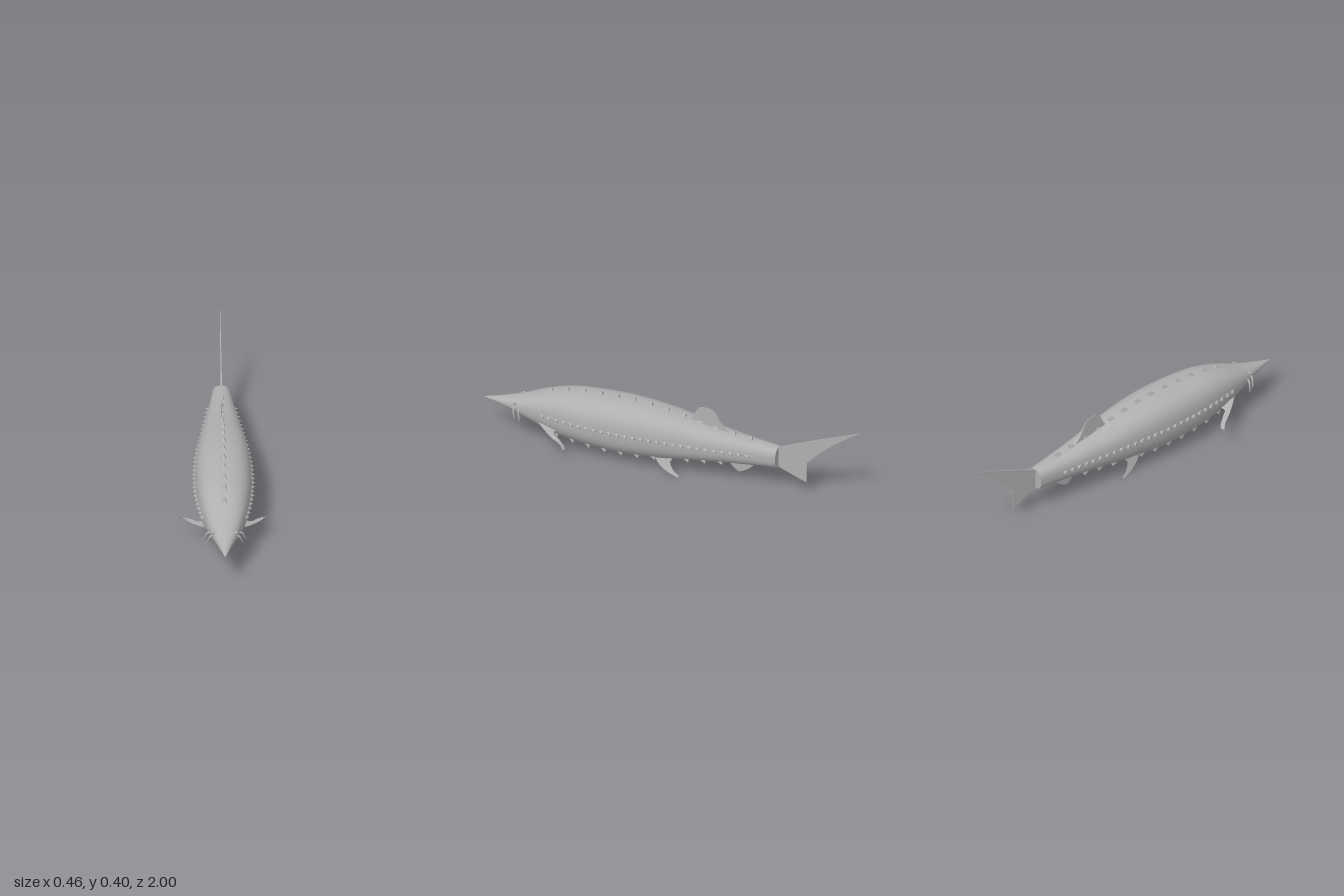
import * as THREE from 'three';
import { mergeVertices, mergeGeometries } from 'three/addons/utils/BufferGeometryUtils.js';
import { ParametricGeometry } from 'three/addons/geometries/ParametricGeometry.js';

// Body stations from tail to nose: z, half width, top y, bottom y
const STATIONS = [
  [-0.567, 0.045, 0.225, 0.118], [-0.4, 0.066, 0.24, 0.106], [-0.2, 0.094, 0.266, 0.086],
  [0, 0.122, 0.3, 0.062], [0.2, 0.137, 0.318, 0.045], [0.4, 0.136, 0.314, 0.05],
  [0.55, 0.122, 0.3, 0.066], [0.68, 0.098, 0.265, 0.095], [0.8, 0.064, 0.219, 0.127],
  [0.9, 0.032, 0.19, 0.147], [1, 0.0005, 0.1655, 0.1645],
];
const widthCurve = new THREE.CatmullRomCurve3(STATIONS.map(([z, w]) => new THREE.Vector3(w, 0, z)));
const heightCurve = new THREE.CatmullRomCurve3(STATIONS.map(([z, , t, b]) => new THREE.Vector3(t, b, z)));

// Curve value at a given z, found by bisection
function atZ(curve, z) {
  let lo = 0, hi = 1;
  for (let i = 0; i < 24; i++) {
    const mid = (lo + hi) / 2;
    if (curve.getPoint(mid).z < z) lo = mid; else hi = mid;
  }
  return curve.getPoint((lo + hi) / 2);
}

// Squarish rounded cross-section, rounder towards the nose
function bodyPoint(angle, z, target = new THREE.Vector3()) {
  const w = atZ(widthCurve, z).x, h = atZ(heightCurve, z);
  const n = 2.6 - 0.6 * THREE.MathUtils.smoothstep(z, 0.6, 1);
  const c = Math.cos(angle), s = Math.sin(angle);
  const r = Math.pow(Math.abs(c) ** n + Math.abs(s) ** n, -1 / n);
  return target.set(c * r * w, (h.x + h.y) / 2 + s * r * (h.x - h.y) / 2, z);
}

// Matrix resting on the skin: local y points outwards, local z towards the nose
function skinFrame(angle, z) {
  const p = bodyPoint(angle, z);
  const forward = bodyPoint(angle, z + 0.01).sub(bodyPoint(angle, z - 0.01)).normalize();
  const around = bodyPoint(angle + 0.02, z).sub(bodyPoint(angle - 0.02, z));
  const out = around.cross(forward).normalize();
  const side = out.clone().cross(forward);
  return new THREE.Matrix4().makeBasis(side, out, forward).setPosition(p);
}

// A row of four-sided bony plates with the point leaning backwards
function scuteRow(angle, zStart, zEnd, count, width, length, height) {
  const parts = [];
  for (let i = 0; i < count; i++) {
    const z = THREE.MathUtils.lerp(zStart, zEnd, i / (count - 1));
    const g = new THREE.CylinderGeometry(0.01, Math.SQRT1_2, 1, 4, 1, true, Math.PI / 4);
    g.translate(0, 0.42, 0);
    const p = g.attributes.position;
    for (let k = 0; k < p.count; k++) if (p.getY(k) > 0) p.setZ(k, p.getZ(k) - 0.4);
    g.scale(width, height, length).applyMatrix4(skinFrame(angle, z));
    const flat = g.toNonIndexed();
    flat.computeVertexNormals();
    parts.push(flat);
  }
  return mergeGeometries(parts);
}

// Upright fin: outline in (z, y), with thickness tapering from the base line to the far edge
function uprightFin(shape, taper) {
  const g = new THREE.ExtrudeGeometry(shape, { depth: 1, bevelEnabled: false, curveSegments: 10 });
  const p = g.attributes.position;
  for (let i = 0; i < p.count; i++) {
    const z = p.getX(i), y = p.getY(i);
    p.setXYZ(i, (0.5 - p.getZ(i)) * taper(z, y), y, z);
  }
  // The axis swap (x, y, z) to (-z, y, x) is a pure rotation, so the winding holds
  g.computeVertexNormals();
  return g;
}

// Thin paired fin swept between two edge curves
function pairedFin(outer, inner, mirror) {
  const curve = (pts) => new THREE.CatmullRomCurve3(pts.map(([x, y, z]) => new THREE.Vector3(x * mirror, y, z)));
  const a = curve(outer), b = curve(inner);
  return new ParametricGeometry((u, v, t) => t.lerpVectors(a.getPoint(v), b.getPoint(v), u), 3, 12);
}

export function createModel() {
  const group = new THREE.Group();
  const grey = new THREE.MeshStandardMaterial({ color: 0xb0b0b0, side: THREE.DoubleSide });
  grey.name = 'plain grey';
  const add = (name, geometry) => {
    const mesh = new THREE.Mesh(geometry, grey);
    mesh.name = name;
    group.add(mesh);
    return mesh;
  };

  // Body with a flat end at the tail
  let body = new ParametricGeometry((u, v, t) => bodyPoint(u * Math.PI * 2, -0.567 + 1.567 * v, t), 40, 64);
  body.deleteAttribute('normal');
  body.deleteAttribute('uv');
  body = mergeVertices(body, 1e-5);
  body.computeVertexNormals();
  add('body', body);
  const cap = new THREE.Shape();
  for (let i = 0; i < 40; i++) {
    const p = bodyPoint((i / 40) * Math.PI * 2, -0.567);
    if (i) cap.lineTo(-p.x, p.y); else cap.moveTo(-p.x, p.y);
  }
  const capGeometry = new THREE.ShapeGeometry(cap);
  capGeometry.rotateY(Math.PI).translate(0, 0, -0.567);
  add('tailEnd', capGeometry);

  // Tail fin with a long upper lobe
  const tail = new THREE.Shape();
  tail.moveTo(-0.55, 0.225);
  tail.lineTo(-0.567, 0.225);
  tail.quadraticCurveTo(-0.75, 0.305, -1, 0.398);
  tail.quadraticCurveTo(-0.8, 0.27, -0.718, 0.168);
  tail.lineTo(-0.716, 0.06);
  tail.lineTo(-0.567, 0.118);
  tail.lineTo(-0.55, 0.118);
  add('tailFin', uprightFin(tail, (z) => THREE.MathUtils.mapLinear(z, -0.55, -1, 0.008, 0.001)));

  // Back fin
  const back = new THREE.Shape();
  back.moveTo(-0.08, 0.265);
  back.bezierCurveTo(-0.13, 0.3, -0.12, 0.352, -0.16, 0.36);
  back.bezierCurveTo(-0.26, 0.37, -0.22, 0.31, -0.305, 0.248);
  back.lineTo(-0.28, 0.235);
  back.lineTo(-0.1, 0.255);
  add('backFin', uprightFin(back, (z, y) => THREE.MathUtils.mapLinear(y, 0.24, 0.365, 0.012, 0.002)));

  // Belly fin near the tail
  const anal = new THREE.Shape();
  anal.moveTo(-0.29, 0.105);
  anal.quadraticCurveTo(-0.32, 0.065, -0.355, 0.042);
  anal.quadraticCurveTo(-0.41, 0.06, -0.45, 0.115);
  anal.lineTo(-0.37, 0.125);
  add('analFin', uprightFin(anal, (z, y) => THREE.MathUtils.mapLinear(y, 0.04, 0.125, 0.002, 0.01)));

  // Row along the back
  add('backScutes', scuteRow(Math.PI / 2, 0.65, -0.41, 13, 0.024, 0.036, 0.02));

  for (const m of [1, -1]) {
    const side = m > 0 ? 'left' : 'right';
    const mirrored = (angle) => (m > 0 ? angle : Math.PI - angle);

    // Rows along the flank and the belly edge
    add(side + 'FlankScutes', scuteRow(mirrored(0.03), 0.65, -0.42, 27, 0.016, 0.026, 0.017));
    add(side + 'BellyScutes', scuteRow(mirrored(-0.86), 0.58, -0.28, 11, 0.018, 0.028, 0.016));

    // Paired fins
    add(side + 'PectoralFin', pairedFin(
      [[0.1, 0.143, 0.67], [0.14, 0.127, 0.615], [0.175, 0.113, 0.56], [0.206, 0.108, 0.51], [0.229, 0.093, 0.484]],
      [[0.1, 0.125, 0.57], [0.132, 0.122, 0.575], [0.158, 0.114, 0.54], [0.185, 0.1, 0.5], [0.205, 0.092, 0.482]], m));
    add(side + 'PelvicFin', pairedFin(
      [[0.07, 0.072, 0.065], [0.083, 0.042, 0.035], [0.096, 0.018, -0.01], [0.111, 0.003, -0.078]],
      [[0.074, 0.076, -0.02], [0.085, 0.048, -0.03], [0.096, 0.026, -0.05], [0.106, 0.012, -0.08]], m));

    // Eye
    const eye = add(side + 'Eye', new THREE.SphereGeometry(0.01, 16, 12));
    eye.scale.set(0.7, 1, 0.9);
    eye.position.set(0.058 * m, 0.195, 0.812);
    eye.rotation.z = -0.3 * m;

    // Two whiskers, each a tapering bent rod
    for (const [x, z] of [[0.064, 0.815], [0.079, 0.782]]) {
      const path = new THREE.CatmullRomCurve3([
        new THREE.Vector3((x - 0.004) * m, 0.181, z), new THREE.Vector3((x + 0.008) * m, 0.172, z - 0.002),
        new THREE.Vector3((x + 0.018) * m, 0.148, z - 0.008), new THREE.Vector3((x + 0.029) * m, 0.13, z - 0.016)]);
      const g = new THREE.TubeGeometry(path, 12, 0.0055, 8);
      const p = g.attributes.position, v = new THREE.Vector3();
      for (let i = 0; i < p.count; i++) {
        const t = Math.floor(i / 9) / 12;
        v.fromBufferAttribute(p, i).lerp(path.getPointAt(t), 0.8 * t * t);
        p.setXYZ(i, v.x, v.y, v.z);
      }
      g.computeVertexNormals();
      add(side + 'Whisker', g);
    }
  }
  return group;
}
